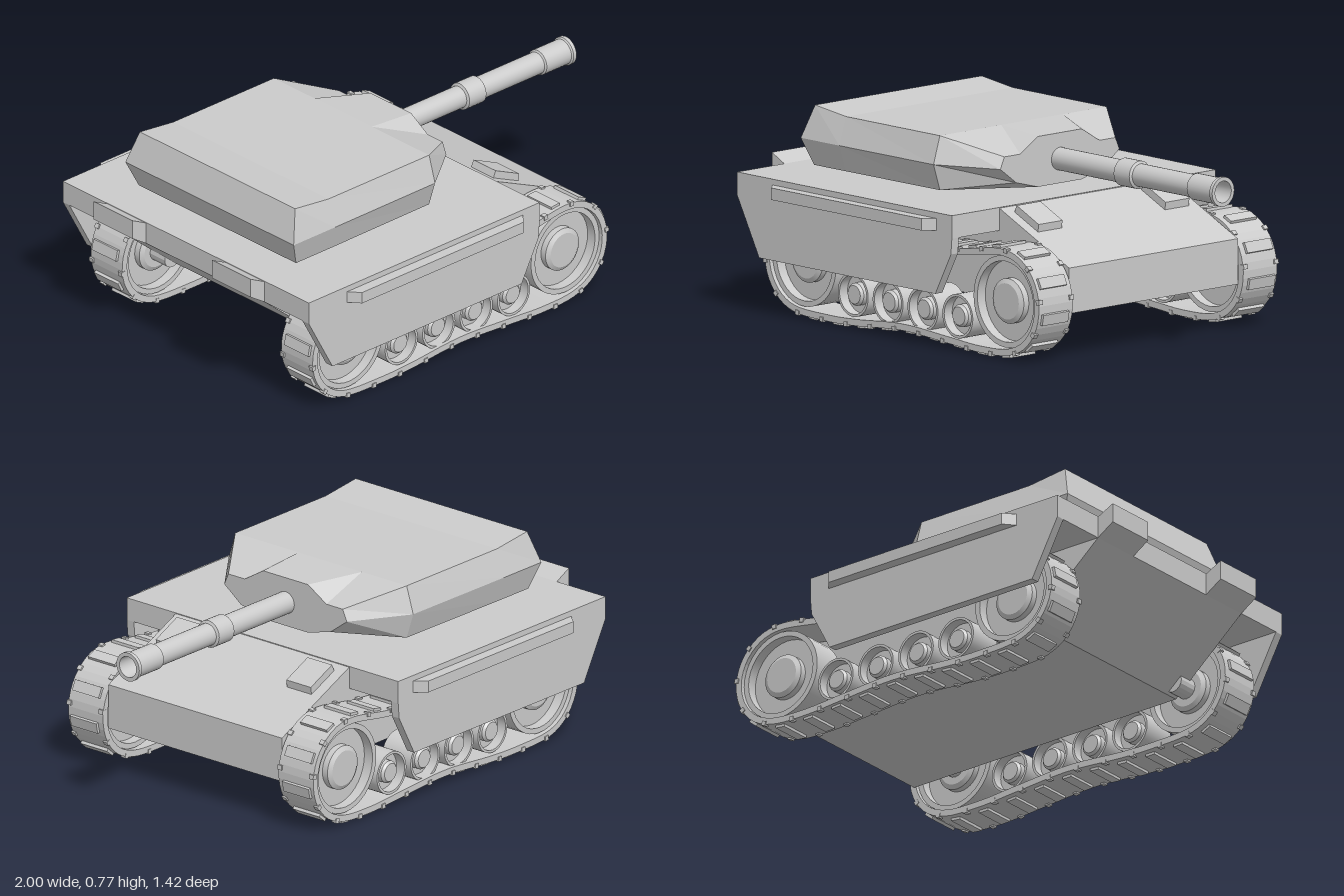
import * as THREE from 'three';

const mat = new THREE.MeshStandardMaterial({ color: 0xcccccc, flatShading: true });
const smooth = new THREE.MeshStandardMaterial({ color: 0xcccccc });

function add(parent, name, geometry, material = mat) {
  const mesh = new THREE.Mesh(geometry, material);
  mesh.name = name;
  parent.add(mesh);
  return mesh;
}

// Side profile (x, y) extruded from z0 to z1
function plate(points, z0, z1) {
  const shape = new THREE.Shape(points.map(p => new THREE.Vector2(...p)));
  return new THREE.ExtrudeGeometry(shape, { depth: z1 - z0, bevelEnabled: false }).translate(0, 0, z0);
}

// Lathe with hard edges: every profile segment is a separate smooth band
function turned(parent, name, profile, segments) {
  const group = new THREE.Group();
  group.name = name;
  for (let i = 0; i < profile.length - 1; i++) {
    const pts = [profile[i], profile[i + 1]].map(p => new THREE.Vector2(...p));
    add(group, name + 'Band', new THREE.LatheGeometry(pts, segments), smooth);
  }
  parent.add(group);
  return group;
}

// Wheel with a recessed face and a raised hub on both sides
function wheel(parent, name, x, y, r, hub) {
  const w = 0.07, d = 0.03, rim = r * 0.88;
  const profile = [
    [0, -w + 0.005], [hub * 0.8, -w + 0.005], [hub, -w + 0.015], [hub, -d], [rim, -d], [rim, -w], [r, -w],
    [r, w], [rim, w], [rim, d], [hub, d], [hub, w - 0.015], [hub * 0.8, w - 0.005], [0, w - 0.005]];
  const g = turned(parent, name, profile, 36);
  g.rotation.x = Math.PI / 2;
  g.position.set(x, y, 0.515);
}

// Closed path of the track around the two end wheels
function trackCurve() {
  const pts = [];
  const arc = (cx, from, to) => {
    for (let i = 0; i <= 6; i++) {
      const a = THREE.MathUtils.degToRad(from + (to - from) * i / 6);
      pts.push(new THREE.Vector3(cx + 0.195 * Math.cos(a), 0.222 + 0.195 * Math.sin(a), 0));
    }
  };
  arc(-0.65, 90, 255);
  for (const [x, y] of [[-0.5, 0.02], [-0.36, 0.024], [-0.1, 0.043], [0.15, 0.03], [0.32, 0.02]]) {
    pts.push(new THREE.Vector3(x, y, 0));
  }
  arc(0.445, 280, 450);
  for (const [x, y] of [[0.2, 0.385], [-0.1, 0.37], [-0.4, 0.385]]) pts.push(new THREE.Vector3(x, y, 0));
  return new THREE.CatmullRomCurve3(pts, true);
}

function buildTrack() {
  const g = new THREE.Group();
  g.name = 'trackAssembly';
  const curve = trackCurve();
  const offset = d => curve.getSpacedPoints(120).slice(0, -1).map((p, i) => {
    const t = curve.getTangentAt(i / 120);
    return new THREE.Vector2(p.x - t.y * -d, p.y - t.x * d);
  });
  // Belt
  const shape = new THREE.Shape(offset(0.005));
  shape.holes.push(new THREE.Path(offset(-0.02)));
  add(g, 'trackBelt', new THREE.ExtrudeGeometry(shape, { depth: 0.17, bevelEnabled: false }).translate(0, 0, 0.43));
  // Raised pads and small edge links between them
  const count = 26;
  for (let i = 0; i < count; i++) {
    const place = (u, name, len, z, width, lift) => {
      const p = curve.getPointAt(u), t = curve.getTangentAt(u);
      const m = add(g, name, new THREE.BoxGeometry(len, 0.018, width));
      m.position.set(p.x + t.y * lift, p.y - t.x * lift, z);
      m.rotation.z = Math.atan2(t.y, t.x);
    };
    place(i / count, 'trackPad', 0.042, 0.52, 0.13, 0.006);
    for (const z of [0.438, 0.594]) place((i + 0.5) / count, 'trackLink', 0.018, z, 0.02, 0.002);
  }
  // Wheels
  wheel(g, 'rearWheel', -0.65, 0.222, 0.173, 0.085);
  wheel(g, 'frontWheel', 0.445, 0.222, 0.173, 0.085);
  for (let i = 0; i < 4; i++) wheel(g, 'roadWheel', -0.385 + 0.19 * i, 0.13, 0.083, 0.043);
  // Axles into the hull
  for (const [x, y] of [[-0.65, 0.222], [0.445, 0.222]]) {
    add(g, 'axle', new THREE.CylinderGeometry(0.04, 0.04, 0.12, 16).rotateX(Math.PI / 2)).position.set(x, y, 0.43);
  }
  return g;
}

// Turret lofted along x; each half section is a row of [x, y, z]
function turretGeometry() {
  const halves = [
    [[-0.77, 0.77, 0.11], [-0.77, 0.77, 0.2], [-0.77, 0.77, 0.42], [-0.81, 0.645, 0.455], [-0.77, 0.545, 0.425], [-0.77, 0.545, 0.11]],
    [[-0.6, 0.75, 0.11], [-0.6, 0.75, 0.2], [-0.6, 0.75, 0.42], [-0.6, 0.645, 0.455], [-0.6, 0.545, 0.425], [-0.6, 0.545, 0.11]],
    [[-0.09, 0.75, 0.11], [-0.09, 0.75, 0.2], [-0.09, 0.75, 0.42], [-0.09, 0.645, 0.452], [-0.09, 0.545, 0.42], [-0.09, 0.545, 0.11]],
    [[0.11, 0.735, 0.11], [0.11, 0.68, 0.2], [0.11, 0.68, 0.28], [0.11, 0.635, 0.3], [0.11, 0.575, 0.22], [0.11, 0.545, 0.11]]];
  const rings = halves.map(h => [...h, ...h.slice().reverse().map(([x, y, z]) => [x, y, -z])]);
  const n = rings[0].length, last = rings.length - 1, pos = [];
  const tri = (...c) => c.forEach(p => pos.push(...p));
  for (let j = 0; j < n; j++) {
    const k = (j + 1) % n;
    for (let i = 0; i < last; i++) {
      tri(rings[i][j], rings[i][k], rings[i + 1][k]);
      tri(rings[i][j], rings[i + 1][k], rings[i + 1][j]);
    }
    tri([-0.81, 0.645, 0], rings[0][k], rings[0][j]);
    tri([0.11, 0.635, 0], rings[last][j], rings[last][k]);
  }
  const g = new THREE.BufferGeometry();
  g.setAttribute('position', new THREE.Float32BufferAttribute(pos, 3));
  g.computeVertexNormals();
  return g;
}

// Hull, deck and everything mirrored on one side
function buildSide() {
  const g = new THREE.Group();
  g.name = 'side';
  g.add(buildTrack());
  add(g, 'skirt', plate([[-0.93, 0.44], [-0.81, 0.22], [0.15, 0.22], [0.235, 0.38], [0.24, 0.44]], 0.63, 0.665));
  // Stowage rail with tapered ends
  const rail = plate([[-0.74, -0.66], [-0.7, -0.708], [0.12, -0.708], [0.16, -0.66]], 0.46, 0.505);
  add(g, 'sideRail', rail.rotateX(-Math.PI / 2));
  add(g, 'rearFlap', plate([[-1, 0.56], [-1, 0.485], [-0.93, 0.44], [-0.92, 0.44], [-0.92, 0.525], [-0.93, 0.525]], 0.215, 0.425));
  add(g, 'glacisBox', plate([[0.27, 0.5], [0.4, 0.44], [0.405, 0.48], [0.285, 0.535]], 0.26, 0.38));
  return g;
}

export function createModel() {
  const model = new THREE.Group();
  model.name = 'tank';

  add(model, 'hull', plate([[-0.93, 0.5], [-0.93, 0.44], [-0.62, 0.18], [0.62, 0.18], [0.62, 0.352], [0.24, 0.524], [0.2, 0.524]], -0.425, 0.425));
  add(model, 'deck', new THREE.BoxGeometry(1.17, 0.087, 1.33)).position.set(-0.345, 0.4835, 0);

  // Both sides
  const left = buildSide();
  const right = buildSide();
  right.scale.z = -1;
  model.add(left, right);

  // Turret
  add(model, 'turretRing', new THREE.CylinderGeometry(0.255, 0.255, 0.03, 32)).position.set(-0.345, 0.535, 0);
  add(model, 'turret', turretGeometry());

  // Gun barrel with sleeve, muzzle and open bore
  const gun = turned(model, 'gunBarrel', [
    [0.043, 0.08], [0.043, 0.455], [0.053, 0.46], [0.053, 0.545], [0.043, 0.55], [0.043, 0.85],
    [0.05, 0.855], [0.05, 0.98], [0.056, 0.985], [0.056, 1], [0.041, 1], [0.037, 0.8], [0, 0.8]], 28);
  gun.rotation.z = -Math.PI / 2;
  gun.position.y = 0.637;

  return model;
}
